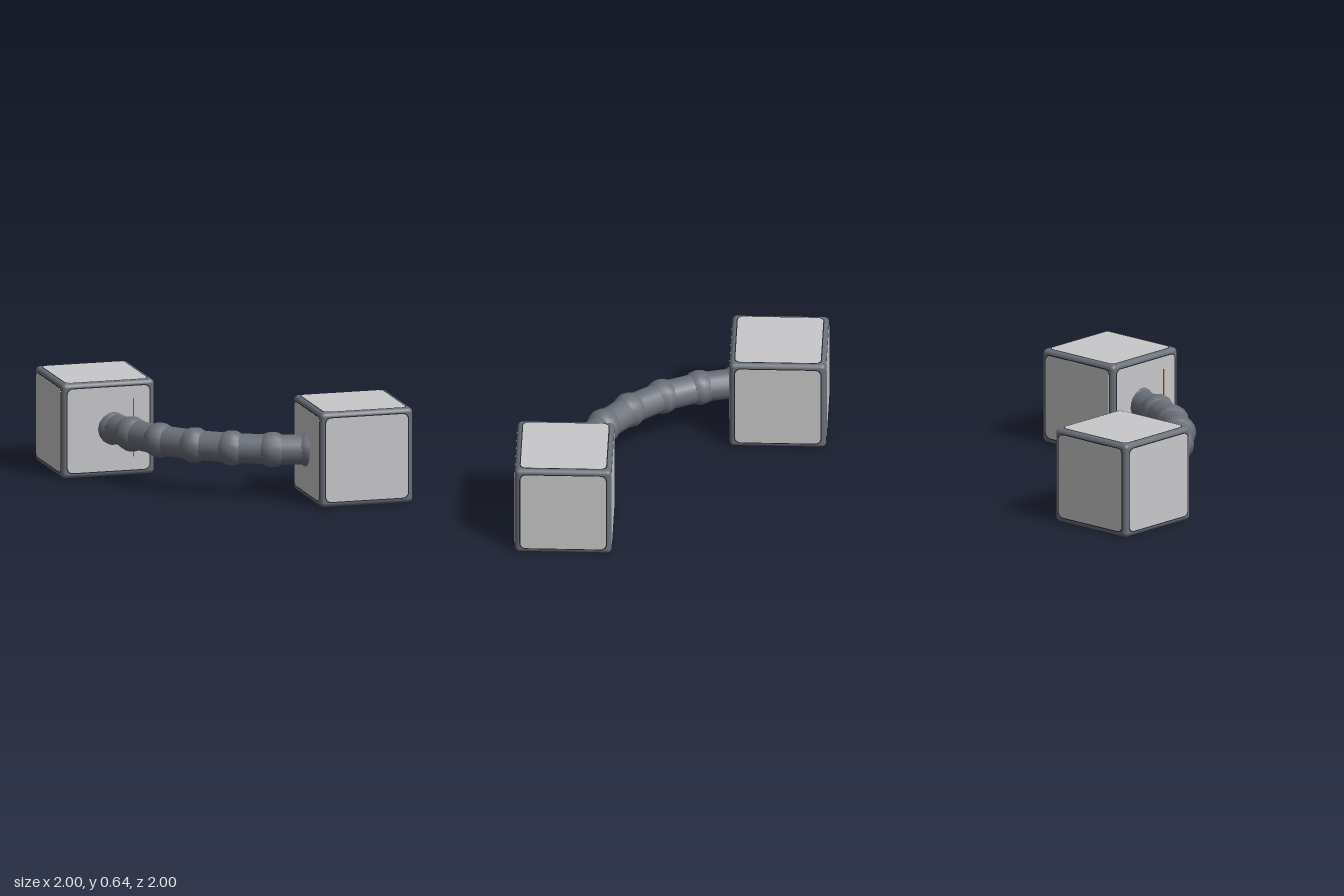
import * as THREE from 'three';
import { RoundedBoxGeometry } from 'three/addons/geometries/RoundedBoxGeometry.js';

const mat = (name, color, extra = {}) => new THREE.MeshStandardMaterial({ name, color, ...extra });

// Flat square plate with rounded corners, lying in XY and facing +z
function roundedPlate(size, radius, depth) {
  const h = size / 2;
  const s = new THREE.Shape();
  s.moveTo(-h + radius, -h);
  s.lineTo(h - radius, -h);
  s.absarc(h - radius, -h + radius, radius, -Math.PI / 2, 0);
  s.absarc(h - radius, h - radius, radius, 0, Math.PI / 2);
  s.absarc(-h + radius, h - radius, radius, Math.PI / 2, Math.PI);
  s.absarc(-h + radius, -h + radius, radius, Math.PI, Math.PI * 1.5);
  return new THREE.ExtrudeGeometry(s, { depth, bevelEnabled: false, curveSegments: 6 });
}

export function createModel() {
  const steel = mat('steel grey', 0x6b7079);
  const panelGrey = mat('panel light grey', 0xc8c8ca);
  const seamDark = mat('seam dark', 0x24272e);
  const orange = mat('marker orange', 0xb8691e);

  const model = new THREE.Group();
  model.name = 'linkedCubes';
  const add = (parent, name, geometry, material) => {
    const m = new THREE.Mesh(geometry, material);
    m.name = name;
    parent.add(m);
    return m;
  };

  const HALF = 0.318, Y = 0.322, C = 0.68;
  const frameGeo = new RoundedBoxGeometry(0.632, 0.632, 0.632, 4, 0.03);
  const seamGeo = roundedPlate(0.574, 0.044, 0.004);
  const panelGeo = roundedPlate(0.56, 0.037, 0.005);
  const q = Math.PI / 2;
  const sides = [
    ['front', 0, 0], ['left', 0, q], ['back', 0, 2 * q],
    ['right', 0, -q], ['top', -q, 0], ['bottom', q, 0],
  ];

  // Framed cube; the tube enters through its local +z face
  function cube(name) {
    const g = new THREE.Group();
    g.name = name;
    add(g, 'frame', frameGeo, steel);
    for (const [side, rx, ry] of sides) {
      const face = new THREE.Group();
      face.name = side + 'Face';
      face.rotation.set(rx, ry, 0);
      add(face, 'seam', seamGeo, seamDark).position.z = HALF - 0.005;
      add(face, 'panel', panelGeo, panelGrey).position.z = HALF - 0.005;
      g.add(face);
    }
    // Upright marker fin beside the tube
    add(g, 'markerFin', new THREE.BoxGeometry(0.004, 0.39, 0.012), orange)
      .position.set(0.17, 0.003, HALF + 0.001);
    model.add(g);
    return g;
  }
  cube('backCube').position.set(-C, Y, -C);
  const front = cube('frontCube');
  front.position.set(C, Y, C);
  front.rotation.y = -q;

  // Jointed tube: straight segments between ball joints
  const joints = [
    [-0.645, -0.40], [-0.58, -0.16], [-0.46, 0.08], [-0.285, 0.29],
    [-0.08, 0.45], [0.16, 0.575], [0.40, 0.645],
  ].map(([x, z]) => new THREE.Vector3(x, 0.325, z));
  const tube = new THREE.Group();
  tube.name = 'jointedTube';
  model.add(tube);

  const ballGeo = new THREE.SphereGeometry(0.117, 10, 8);
  const up = new THREE.Vector3(0, 1, 0);
  joints.forEach((p, i) => {
    const next = joints[Math.min(i + 1, joints.length - 1)];
    const prev = joints[Math.max(i - 1, 0)];
    const ball = add(tube, 'ballJoint', ballGeo, steel);
    ball.position.copy(p);
    ball.rotation.y = Math.atan2(next.x - prev.x, next.z - prev.z);
    if (next === p) return;
    const dir = next.clone().sub(p);
    const seg = add(tube, 'tubeSegment',
      new THREE.CylinderGeometry(0.098, 0.098, dir.length(), 16), steel);
    seg.position.copy(p).add(next).multiplyScalar(0.5);
    seg.quaternion.setFromUnitVectors(up, dir.normalize());
  });

  return model;
}
